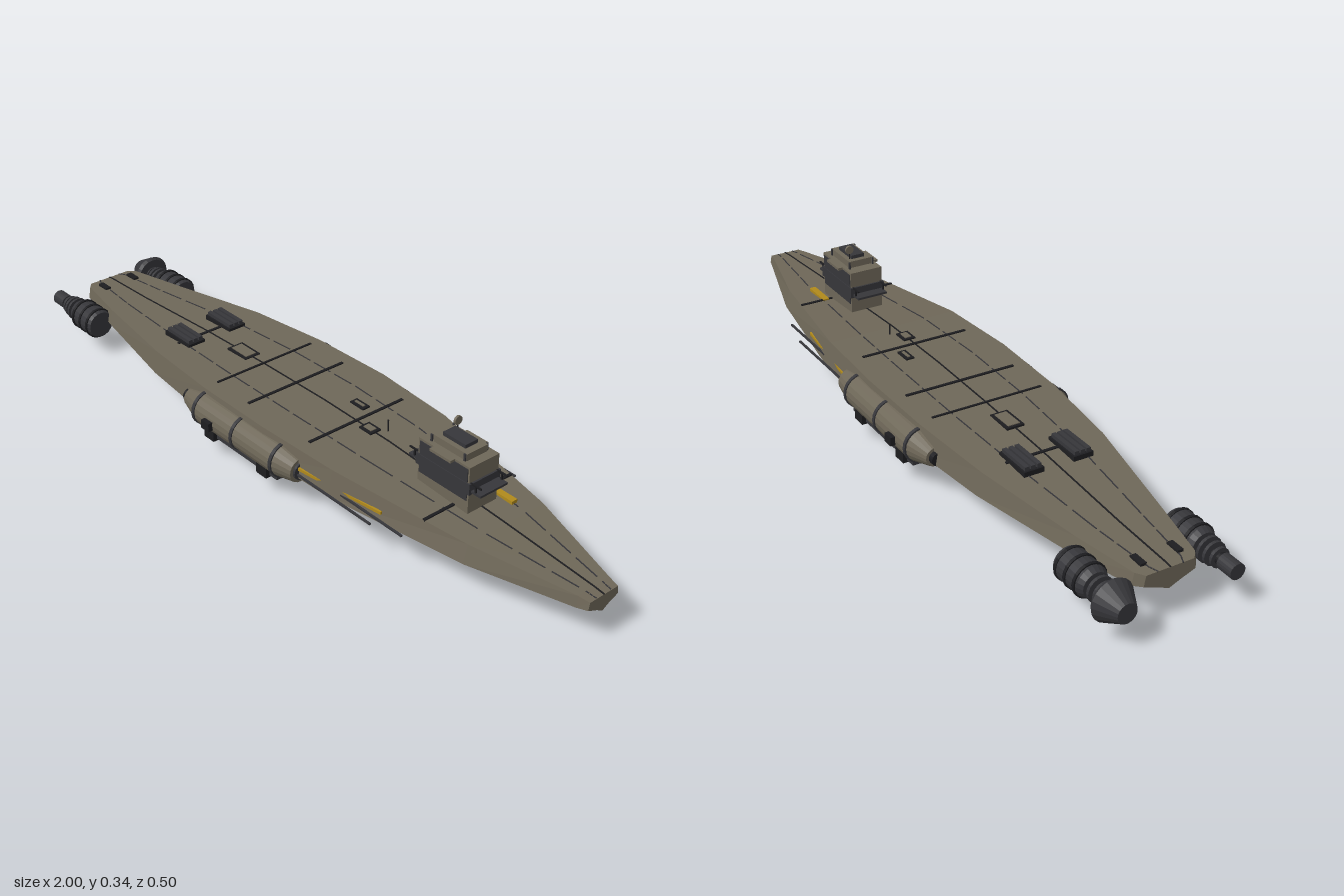
import * as THREE from 'three';

const mat = (name, color) => {
  const m = new THREE.MeshStandardMaterial({ color });
  m.name = name;
  return m;
};

// Hull stations: x, deck half width, chine half width, deck y, chine y, keel y
const stations = [
  [-0.95, 0.065, 0.07, 0.138, 0.11, 0.082],
  [-0.93, 0.082, 0.088, 0.14, 0.108, 0.078],
  [-0.76, 0.118, 0.128, 0.146, 0.104, 0.068],
  [-0.45, 0.175, 0.186, 0.165, 0.102, 0.06],
  [-0.2, 0.198, 0.208, 0.174, 0.1, 0.053],
  [0.05, 0.203, 0.212, 0.178, 0.1, 0.051],
  [0.3, 0.19, 0.202, 0.174, 0.1, 0.055],
  [0.7, 0.125, 0.138, 0.15, 0.1, 0.064],
  [0.97, 0.052, 0.057, 0.13, 0.1, 0.076],
  [1.0, 0.046, 0.05, 0.126, 0.105, 0.08],
];

// Interpolated station value at x
function at(x, col) {
  let i = 0;
  while (i < stations.length - 2 && x > stations[i + 1][0]) i++;
  const a = stations[i], b = stations[i + 1];
  return a[col] + (b[col] - a[col]) * (x - a[0]) / (b[0] - a[0]);
}

function hullGeometry() {
  const rings = stations.map(([x, wt, wc, yt, yc, yb]) => [
    [x, yt, -wt], [x, yt, wt], [x, yc, wc], [x, yb + 0.012, wc * 0.4],
    [x, yb, 0], [x, yb + 0.012, -wc * 0.4], [x, yc, -wc],
  ]);
  const p = [], n = 7;
  for (let i = 0; i < rings.length - 1; i++) {
    for (let j = 0; j < n; j++) {
      const a = rings[i][j], b = rings[i][(j + 1) % n], c = rings[i + 1][j], d = rings[i + 1][(j + 1) % n];
      p.push(...a, ...b, ...c, ...b, ...d, ...c);
    }
  }
  const s = rings[0], e = rings[rings.length - 1];
  for (let j = 1; j < n - 1; j++) p.push(...s[0], ...s[j + 1], ...s[j], ...e[0], ...e[j], ...e[j + 1]);
  const g = new THREE.BufferGeometry();
  g.setAttribute('position', new THREE.Float32BufferAttribute(p, 3));
  g.computeVertexNormals();
  return g;
}

export function createModel() {
  const ship = new THREE.Group();
  ship.name = 'spaceship';
  const hullMat = mat('hull olive grey', 0x6e6758);
  const darkMat = mat('dark metal', 0x36363a);
  const blackMat = mat('black trim', 0x1d1d20);
  const goldMat = mat('marking yellow', 0xb08a1c);

  const add = (name, geo, m, x = 0, y = 0, z = 0, parent = ship) => {
    const o = new THREE.Mesh(geo, m);
    o.name = name;
    o.position.set(x, y, z);
    parent.add(o);
    return o;
  };
  // Box given by its limits
  const box = (name, m, x0, x1, y0, y1, z0, z1, parent) => add(name,
    new THREE.BoxGeometry(x1 - x0, y1 - y0, z1 - z0), m,
    (x0 + x1) / 2, (y0 + y1) / 2, (z0 + z1) / 2, parent);
  // Turned part along x, profile of [x, radius] in rising x
  const turned = (name, m, profile, y, z, parent, sides = 20) => {
    const g = new THREE.LatheGeometry(profile.map(([x, r]) => new THREE.Vector2(r, x)), sides);
    g.rotateZ(-Math.PI / 2);
    const flat = g.toNonIndexed();
    flat.computeVertexNormals();
    return add(name, flat, m, 0, y, z, parent);
  };
  const disc = (name, m, x0, x1, r, y, z, parent) =>
    turned(name, m, [[x0, 0], [x0, r], [x1, r], [x1, 0]], y, z, parent);
  // Thin bar between two points
  const bar = (name, m, a, b, h, w) => {
    const va = new THREE.Vector3(...a), vb = new THREE.Vector3(...b);
    const o = add(name, new THREE.BoxGeometry(w, h, va.distanceTo(vb)), m);
    o.position.copy(va).lerp(vb, 0.5);
    o.lookAt(vb);
    return o;
  };

  add('hull', hullGeometry(), hullMat);

  // Panel lines along and across the deck
  for (let i = 0; i < stations.length - 1; i++) {
    const [xa, , , ya] = stations[i], [xb, , , yb] = stations[i + 1];
    bar('centreSeam', blackMat, [xa, ya, 0], [xb, yb, 0], 0.003, 0.004);
    for (const s of [-1, 1]) {
      const za = s * stations[i][1] * 0.52, zb = s * stations[i + 1][1] * 0.52;
      for (let k = 0; k < 3; k++) {
        const t0 = k / 3, t1 = (k + 0.8) / 3, L = THREE.MathUtils.lerp;
        bar('deckSeam', darkMat, [L(xa, xb, t0), L(ya, yb, t0), L(za, zb, t0)],
          [L(xa, xb, t1), L(ya, yb, t1), L(za, zb, t1)], 0.003, 0.003);
      }
    }
  }
  for (const [x, f] of [[-0.45, 0.6], [-0.065, 0.8], [0.175, 0.8], [0.575, 1]]) {
    const w = at(x, 1) * f;
    box('crossSeam', blackMat, x - 0.004, x + 0.004, at(x, 3) - 0.003, at(x, 3) + 0.003, -w, w);
  }
  box('deckRail', blackMat, -0.2, -0.194, 0.178, 0.181, -0.16, 0.16);

  // Deck hatches
  const hatch = (x, z, w, d) => {
    const y = at(x, 3);
    box('hatchFrame', blackMat, x - w / 2, x + w / 2, y - 0.004, y + 0.004, z - d / 2, z + d / 2);
    box('hatchCover', hullMat, x - w / 2 + 0.008, x + w / 2 - 0.008, y, y + 0.006, z - d / 2 + 0.008, z + d / 2 - 0.008);
  };
  hatch(-0.29, 0, 0.08, 0.05);
  hatch(0.125, -0.055, 0.05, 0.024);
  hatch(0.225, 0, 0.045, 0.035);
  box('deckMarking', goldMat, 0.57, 0.66, 0.153, 0.162, -0.078, -0.06);
  add('antenna', new THREE.CylinderGeometry(0.002, 0.002, 0.035, 6), blackMat, 0.26, 0.19, -0.03);

  for (const s of [-1, 1]) {
    // Deck launchers
    const launcher = new THREE.Group();
    launcher.name = 'launcher';
    ship.add(launcher);
    box('launcherBase', blackMat, -0.52, -0.41, 0.158, 0.174, s * 0.07 - 0.028, s * 0.07 + 0.028, launcher);
    for (let k = -1; k <= 1; k++) {
      box('launcherTube', darkMat, -0.515, -0.415, 0.172, 0.184, s * 0.07 + k * 0.017 - 0.006, s * 0.07 + k * 0.017 + 0.006, launcher);
    }
    box('sternVent', blackMat, -0.92, -0.88, 0.138, 0.147, s * 0.05 - 0.008, s * 0.05 + 0.008);

    // Side pods with bands and lower rails
    const pod = new THREE.Group();
    pod.name = 'sidePod';
    ship.add(pod);
    const pz = s * 0.193, py = 0.115;
    turned('podBody', hullMat, [[-0.27, 0], [-0.27, 0.026], [-0.2, 0.047], [0.12, 0.047], [0.185, 0.034], [0.185, 0]], py, pz, pod);
    for (const x of [-0.2, -0.04, 0.12]) disc('podBand', darkMat, x - 0.005, x + 0.005, 0.05, py, pz, pod);
    disc('podNozzle', blackMat, -0.285, -0.265, 0.018, py, pz, pod);
    disc('podNose', darkMat, 0.18, 0.192, 0.025, py, pz, pod);
    box('podPort', blackMat, -0.15, -0.118, 0.1, 0.124, Math.min(s * 0.235, s * 0.252), Math.max(s * 0.235, s * 0.252), pod);
    box('podRail', darkMat, -0.2, 0.12, 0.06, 0.07, s * 0.205 - 0.012, s * 0.205 + 0.012, pod);
    for (const x of [-0.15, 0.07]) box('railClamp', blackMat, x - 0.02, x + 0.02, 0.054, 0.085, s * 0.216 - 0.012, s * 0.216 + 0.012, pod);

    // Side markings and thin booms ahead of the pods
    bar('sideMarking', goldMat, [0.19, 0.127, s * (at(0.19, 2) - 0.002)], [0.46, 0.127, s * (at(0.46, 2) - 0.003)], 0.008, 0.006);
    box('upperBoom', darkMat, 0.28, 0.55, 0.117, 0.121, s * 0.19 - 0.003, s * 0.19 + 0.003);
    box('lowerBoom', darkMat, 0.18, 0.46, 0.109, 0.113, s * 0.208 - 0.003, s * 0.208 + 0.003);
    box('bellyPanel', darkMat, -0.5, 0.5, 0.062, 0.07, s * 0.07 - 0.01, s * 0.07 + 0.01);

    // Engines
    const engine = new THREE.Group();
    engine.name = 'engine';
    ship.add(engine);
    const ez = s * 0.148, ey = 0.102;
    turned('engineBody', darkMat, [[-0.885, 0], [-0.885, 0.034], [-0.87, 0.041], [-0.79, 0.043], [-0.775, 0.038], [-0.775, 0]], ey, ez, engine);
    for (const x of [-0.86, -0.825, -0.79]) disc('engineBand', blackMat, x - 0.004, x + 0.004, 0.045, ey, ez, engine);
    for (const [x, r] of [[-0.9, 0.034], [-0.918, 0.031], [-0.936, 0.026]]) disc('engineRing', darkMat, x - 0.004, x + 0.004, r, ey, ez, engine);
    disc('engineShaft', blackMat, -0.96, -0.88, 0.016, ey, ez, engine);
    if (s < 0) turned('exhaustCone', darkMat, [[-1, 0], [-1, 0.026], [-0.945, 0.056], [-0.936, 0.05], [-0.936, 0]], ey, ez, engine);
    else disc('exhaustTip', darkMat, -1, -0.952, 0.021, ey, ez, engine);
    box('enginePylon', darkMat, -0.85, -0.79, 0.09, 0.115, s * 0.12 - 0.02, s * 0.12 + 0.02, engine);
  }

  // Hanging sensor plate
  box('sensorPlate', darkMat, -0.22, 0.26, 0.011, 0.018, -0.046, 0.046);
  box('sensorCore', blackMat, -0.12, 0.03, 0, 0.016, -0.025, 0.025);

  // Bridge tower
  const bridge = new THREE.Group();
  bridge.name = 'bridge';
  ship.add(bridge);
  box('tower', hullMat, 0.45, 0.62, 0.15, 0.284, -0.048, 0.048, bridge);
  box('windowBand', darkMat, 0.445, 0.625, 0.211, 0.241, -0.052, 0.052, bridge);
  for (const s of [-1, 1]) {
    box('sidePanel', darkMat, 0.455, 0.615, 0.19, 0.278, s * 0.048 - 0.002, s * 0.048 + 0.002, bridge);
    box('bridgeWing', hullMat, 0.5, 0.57, 0.277, 0.284, s * 0.05 - 0.012, s * 0.05 + 0.012, bridge);
    for (const x of [0.48, 0.59]) box('roofPost', darkMat, x - 0.003, x + 0.003, 0.284, 0.303, s * 0.036 - 0.002, s * 0.036 + 0.002, bridge);
  }
  for (const [x0, x1] of [[0.415, 0.45], [0.62, 0.655]]) {
    box('balcony', darkMat, x0, x1, 0.216, 0.222, -0.045, 0.045, bridge);
    box('balconyRail', blackMat, x0, x1, 0.238, 0.242, -0.045, -0.041, bridge);
    box('balconyRail', blackMat, x0, x1, 0.238, 0.242, 0.041, 0.045, bridge);
    for (const z of [-0.043, 0.043]) box('railPost', blackMat, (x0 + x1) / 2 - 0.002, (x0 + x1) / 2 + 0.002, 0.22, 0.24, z - 0.002, z + 0.002, bridge);
  }
  box('upperDeck', hullMat, 0.485, 0.595, 0.284, 0.303, -0.034, 0.034, bridge);
  box('roof', darkMat, 0.5, 0.575, 0.303, 0.313, -0.02, 0.02, bridge);
  add('dishMast', new THREE.CylinderGeometry(0.002, 0.002, 0.035, 6), blackMat, 0.505, 0.313, -0.023, bridge);
  const dish = add('dish', new THREE.CylinderGeometry(0.012, 0.012, 0.006, 16), hullMat, 0.505, 0.33, -0.023, bridge);
  dish.rotation.z = Math.PI / 2;
  return ship;
}
